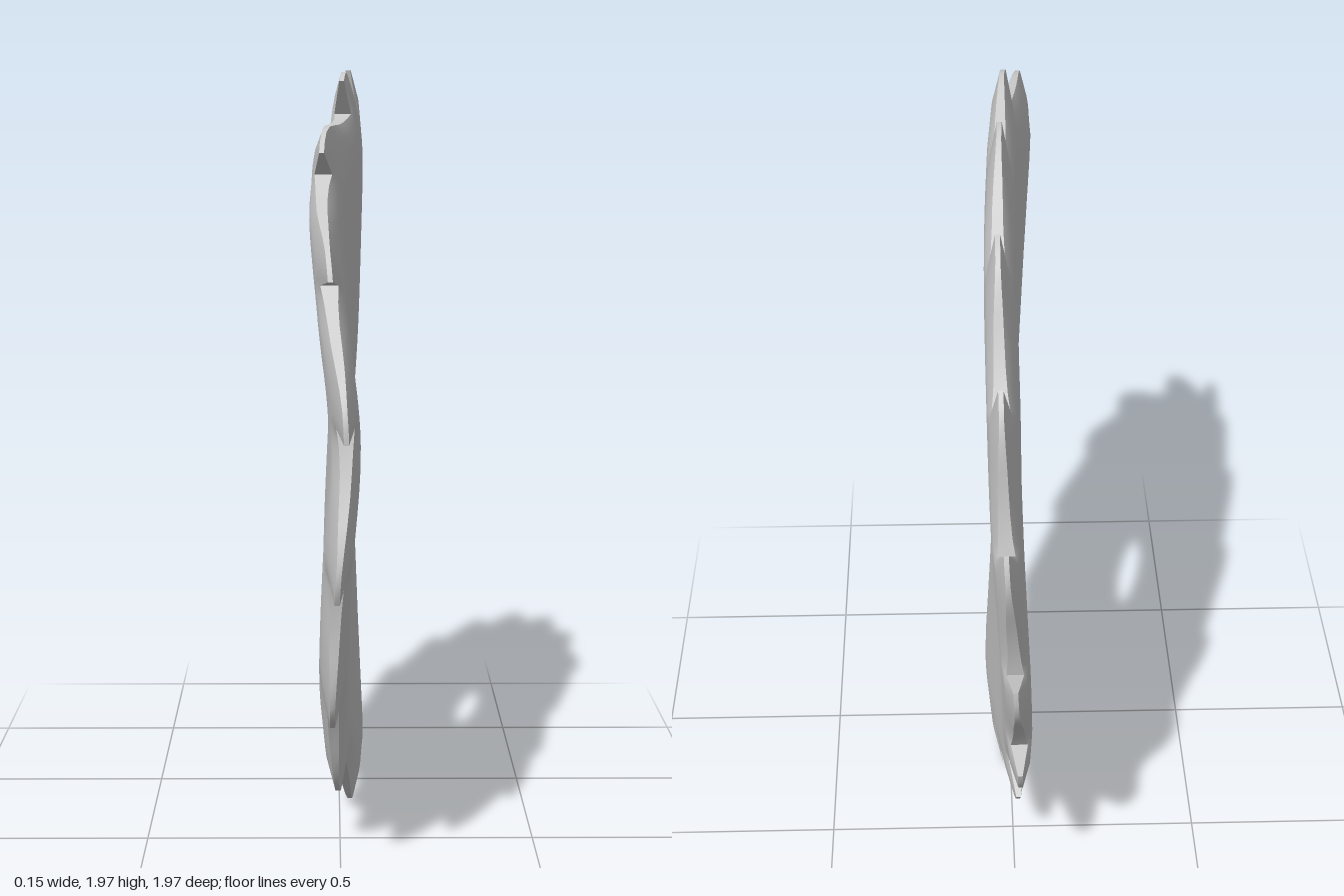
import * as THREE from 'three';
import { toCreasedNormals } from 'three/addons/utils/BufferGeometryUtils.js';

const TEETH = 16;
const STEP = 360 / TEETH;
const FIRST_TIP = 82.6; // degrees, seen from +x, counter-clockwise

// Sideways bend of the rim at each tooth, clockwise from the top
const bend = [0.025, 0.038, 0.038, 0.03, 0.008, -0.008, -0.012, 0.015,
  0.032, -0.004, -0.02, -0.01, 0.012, -0.025, -0.046, 0.005];
const bendCurve = new THREE.CatmullRomCurve3(
  bend.map((x) => new THREE.Vector3(x, 0, 0)), true, 'catmullrom', 0.5);

// Disc rings: radius, half thickness
const rings = [[0.145, 0.01], [0.149, 0.018], [0.162, 0.026], [0.185, 0.032], [0.22, 0.035],
  [0.35, 0.035], [0.5, 0.035], [0.65, 0.036], [0.77, 0.037]];

// One tooth, clockwise from its tip: outer angle, outer radius, outer half thickness,
// middle angle, middle radius, middle half thickness, base angle
const tooth = [
  [0, 0.993, 0.006, -3.4, 0.905, 0.028, -3.4],
  [-2, 1.0, 0.006, -4.6, 0.925, 0.025, -4.8],
  [-4.5, 0.998, 0.006, -5.8, 0.93, 0.025, -6.1],
  [-7.5, 0.98, 0.008, -7.8, 0.92, 0.026, -8],
  [-11, 0.95, 0.011, -11, 0.903, 0.027, -11],
  [-14.5, 0.924, 0.013, -14.5, 0.885, 0.029, -14.5],
  [-18, 0.907, 0.014, -18, 0.872, 0.03, -18],
  [-22, 0.896, 0.017, -22, 0.866, 0.03, -22],
  [-24.9, 0.895, 0.022, -24.6, 0.87, 0.031, -24.6],
];

// Point on the warped blade; side is +1 or -1
function bladePoint(angle, r, half, side) {
  const turn = (((FIRST_TIP - angle) / 360) % 1 + 1) % 1;
  const amount = THREE.MathUtils.clamp((r - 0.2) / 0.72, 0, 1);
  const x = 0.005 * (1 - amount) + bendCurve.getPoint(turn).x * amount + side * half;
  const a = THREE.MathUtils.degToRad(angle);
  return [x, 1 + r * Math.sin(a), -r * Math.cos(a)];
}

function bladeGeometry() {
  const positions = [];
  const index = [];
  const rows = rings.length + 3;
  const loop = rows * 2;
  const columns = TEETH * tooth.length;

  // Each column is a closed section: out along +x, back along -x
  for (let k = 0; k < TEETH; k++) {
    const start = FIRST_TIP - k * STEP;
    for (const [ao, ro, ho, am, rm, hm, ab] of tooth) {
      const section = rings.map(([r, h]) => [start + ab, r, h]);
      section.push([start + ab, 0.835, 0.036], [start + am, rm, hm], [start + ao, ro, ho]);
      for (const p of section) positions.push(...bladePoint(...p, 1));
      for (const p of section.reverse()) positions.push(...bladePoint(...p, -1));
    }
  }

  for (let c = 0; c < columns; c++) {
    const n = (c + 1) % columns;
    for (let i = 0; i < loop; i++) {
      const j = (i + 1) % loop;
      const bl = c * loop + i, br = n * loop + i;
      const tl = c * loop + j, tr = n * loop + j;
      // Diagonals mirror on the far side so the hooked gullets stay clean
      if (i < rows) index.push(bl, br, tl, br, tr, tl);
      else index.push(bl, br, tr, bl, tr, tl);
    }
  }

  const geometry = new THREE.BufferGeometry();
  geometry.setAttribute('position', new THREE.Float32BufferAttribute(positions, 3));
  geometry.setIndex(index);
  return toCreasedNormals(geometry, 0.8);
}

export function createModel() {
  const group = new THREE.Group();
  group.name = 'warpedSawBlade';
  const blade = new THREE.Mesh(bladeGeometry(), new THREE.MeshStandardMaterial({ color: 0xcccccc }));
  blade.name = 'toothedBlade';
  group.add(blade);
  return group;
}
